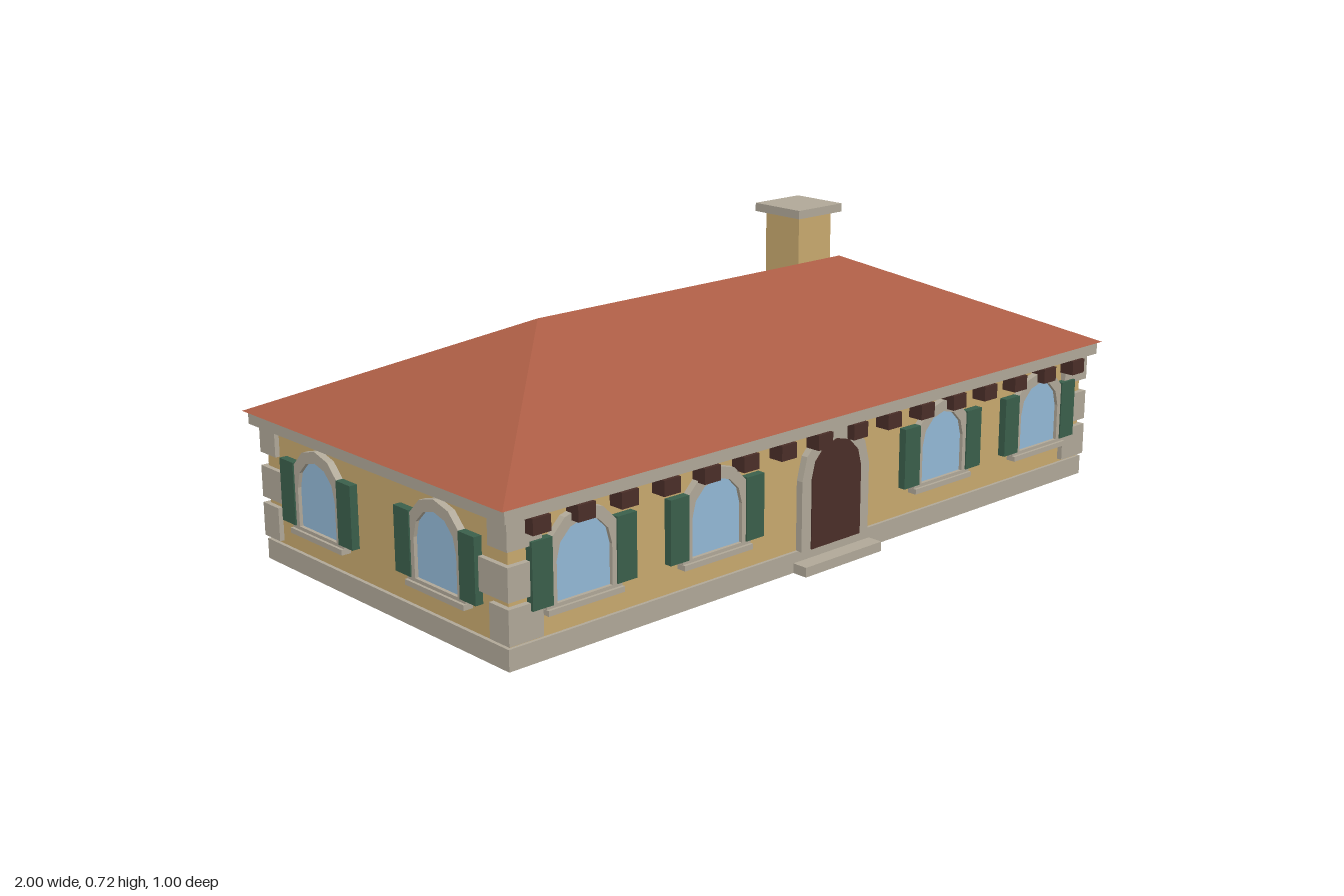
import * as THREE from 'three';

const mat = (name, color) => {
  const m = new THREE.MeshStandardMaterial({ color });
  m.name = name;
  return m;
};

export function createModel() {
  const stucco = mat('stucco', 0xc8a96e);
  const stone = mat('stone', 0xb0a898);
  const tile = mat('roofTile', 0xaa5c44);
  const green = mat('shutterGreen', 0x3a5f4b);
  const glass = mat('glass', 0x93b8d6);
  const wood = mat('darkWood', 0x4a2e28);

  const model = new THREE.Group();
  model.name = 'villa';
  const house = new THREE.Group();
  house.name = 'house';
  house.position.z = -0.004;
  model.add(house);

  const WX = 0.96, WZ = 0.455; // wall half sizes

  const add = (parent, name, geometry, material, x = 0, y = 0, z = 0) => {
    const m = new THREE.Mesh(geometry, material);
    m.name = name;
    m.position.set(x, y, z);
    parent.add(m);
    return m;
  };
  // box given by its centre in x and z and its bottom and top in y
  const box = (parent, name, material, w, d, y0, y1, x = 0, z = 0) =>
    add(parent, name, new THREE.BoxGeometry(w, y1 - y0, d), material, x, (y0 + y1) / 2, z);

  // round-headed outline
  const arch = (Type, r, bottom, spring) => {
    const s = new Type();
    s.moveTo(-r, bottom);
    s.lineTo(r, bottom);
    s.lineTo(r, spring);
    s.absarc(0, spring, r, 0, Math.PI, false);
    s.lineTo(-r, bottom);
    return s;
  };
  const extrude = (shape, depth) =>
    new THREE.ExtrudeGeometry(shape, { depth, bevelEnabled: false, curveSegments: 3 });
  const archFrame = (rOut, rIn, bOut, bIn, spring, depth) => {
    const s = arch(THREE.Shape, rOut, bOut, spring);
    s.holes.push(arch(THREE.Path, rIn, bIn, spring));
    return extrude(s, depth);
  };

  const frameGeo = archFrame(0.104, 0.076, 0.112, 0.123, 0.217, 0.018);
  const paneGeo = extrude(arch(THREE.Shape, 0.078, 0.121, 0.217), 0.009);

  // window with surround, sill and a pair of shutters, facing +z from the wall plane
  const addWindow = (parent, x, z) => {
    const g = new THREE.Group();
    g.name = 'window';
    g.position.set(x, 0, z);
    parent.add(g);
    add(g, 'windowSurround', frameGeo, stone);
    add(g, 'windowPane', paneGeo, glass);
    box(g, 'windowSill', stone, 0.21, 0.026, 0.102, 0.115, 0, 0.012);
    for (const s of [-1, 1]) box(g, 'shutter', green, 0.055, 0.02, 0.123, 0.275, s * 0.116, 0.0115);
  };

  // body
  box(house, 'plinth', stone, 1.938, 0.926, 0, 0.05);
  box(house, 'walls', stucco, WX * 2, WZ * 2, 0.05, 0.34);
  box(house, 'eavesCornice', stone, 1.978, 0.972, 0.333, 0.365);

  // the four facades with their window positions
  const facades = [
    ['frontFacade', 0, WZ, [-0.77, -0.385, 0.385, 0.77]],
    ['leftFacade', Math.PI / 2, WX, [-0.227, 0.227]],
    ['backFacade', Math.PI, WZ, [-0.77, -0.385, 0, 0.385, 0.77]],
    ['rightFacade', -Math.PI / 2, WX, [-0.227, 0.227]],
  ];
  for (const [name, angle, dist, xs] of facades) {
    const g = new THREE.Group();
    g.name = name;
    g.rotation.y = angle;
    house.add(g);
    xs.forEach((x) => addWindow(g, x, dist));
  }

  // corner quoins, alternating long and short
  const rows = [[0.058, 0.14, 0.092, 0.065], [0.155, 0.232, 0.065, 0.1], [0.265, 0.328, 0.092, 0.065]];
  for (const sx of [-1, 1]) for (const sz of [-1, 1]) for (const [y0, y1, w, d] of rows) {
    box(house, 'quoin', stone, w, d, y0, y1, sx * (0.972 - w / 2), sz * (0.469 - d / 2));
  }

  // entrance
  add(house, 'doorSurround', archFrame(0.114, 0.083, 0.049, 0.05, 0.222, 0.018), stone, 0, 0, WZ);
  add(house, 'door', extrude(arch(THREE.Shape, 0.083, 0.05, 0.222), 0.021), wood, 0, 0, WZ);
  box(house, 'doorStep', stone, 0.26, 0.06, 0, 0.024, 0, 0.474);

  // rafter ends under the front eaves
  for (let i = 0; i < 16; i++) {
    box(house, 'rafterEnd', wood, 0.048, 0.046, 0.296, 0.333, -0.9 + i * 0.12, 0.472);
  }

  // hipped roof: a box whose top is drawn in to a ridge
  const roofGeo = new THREE.BoxGeometry(2, 0.228, 0.988).toNonIndexed();
  const p = roofGeo.attributes.position;
  for (let i = 0; i < p.count; i++) {
    if (p.getY(i) > 0) p.setXYZ(i, Math.sign(p.getX(i)) * 0.506, p.getY(i), 0);
  }
  roofGeo.computeVertexNormals();
  add(house, 'hippedRoof', roofGeo, tile, 0, 0.365 + 0.114, 0);

  // chimney
  box(house, 'chimneyStack', stucco, 0.12, 0.12, 0.45, 0.698, 0.476, -0.121);
  box(house, 'chimneyCap', stone, 0.16, 0.16, 0.698, 0.72, 0.476, -0.121);

  return model;
}
